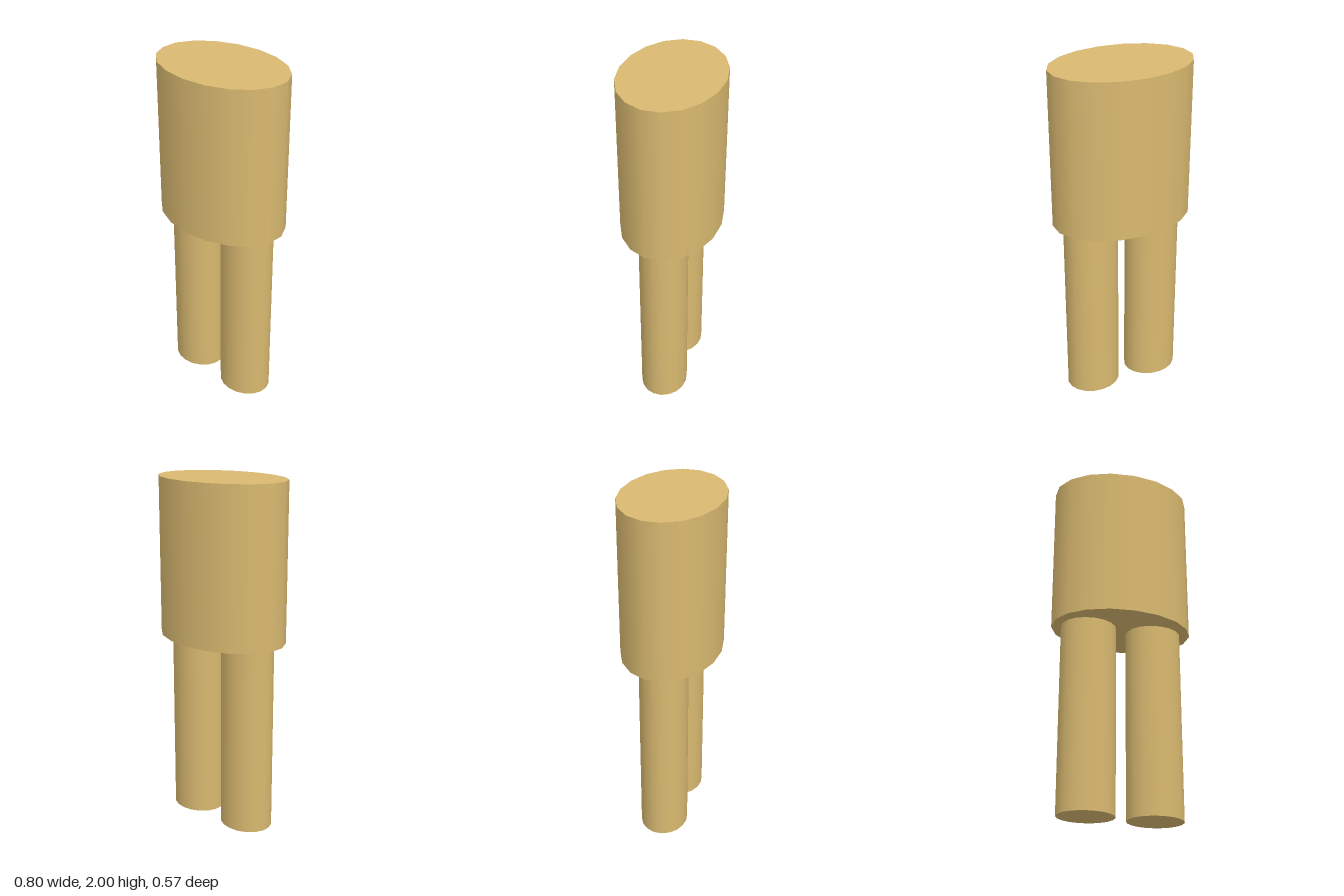
import * as THREE from 'three';

const SIDES = 18;

export function createModel() {
  const group = new THREE.Group();
  const material = new THREE.MeshStandardMaterial({ color: 0xd9b970 });

  // Upright column with an elliptical cross-section
  function column(name, rx, rz, bottom, top, x) {
    const geometry = new THREE.CylinderGeometry(1, 1, top - bottom, SIDES);
    geometry.scale(rx, 1, rz);
    const mesh = new THREE.Mesh(geometry, material);
    mesh.name = name;
    mesh.position.set(x, (bottom + top) / 2, 0);
    group.add(mesh);
  }

  // Wide body on top
  column('torso', 0.408, 0.285, 1.1, 2, 0);

  // Mirrored pair of legs
  for (const [name, side] of [['leftLeg', 1], ['rightLeg', -1]]) {
    column(name, 0.16, 0.137, 0, 1.1, side * 0.193);
  }

  return group;
}
